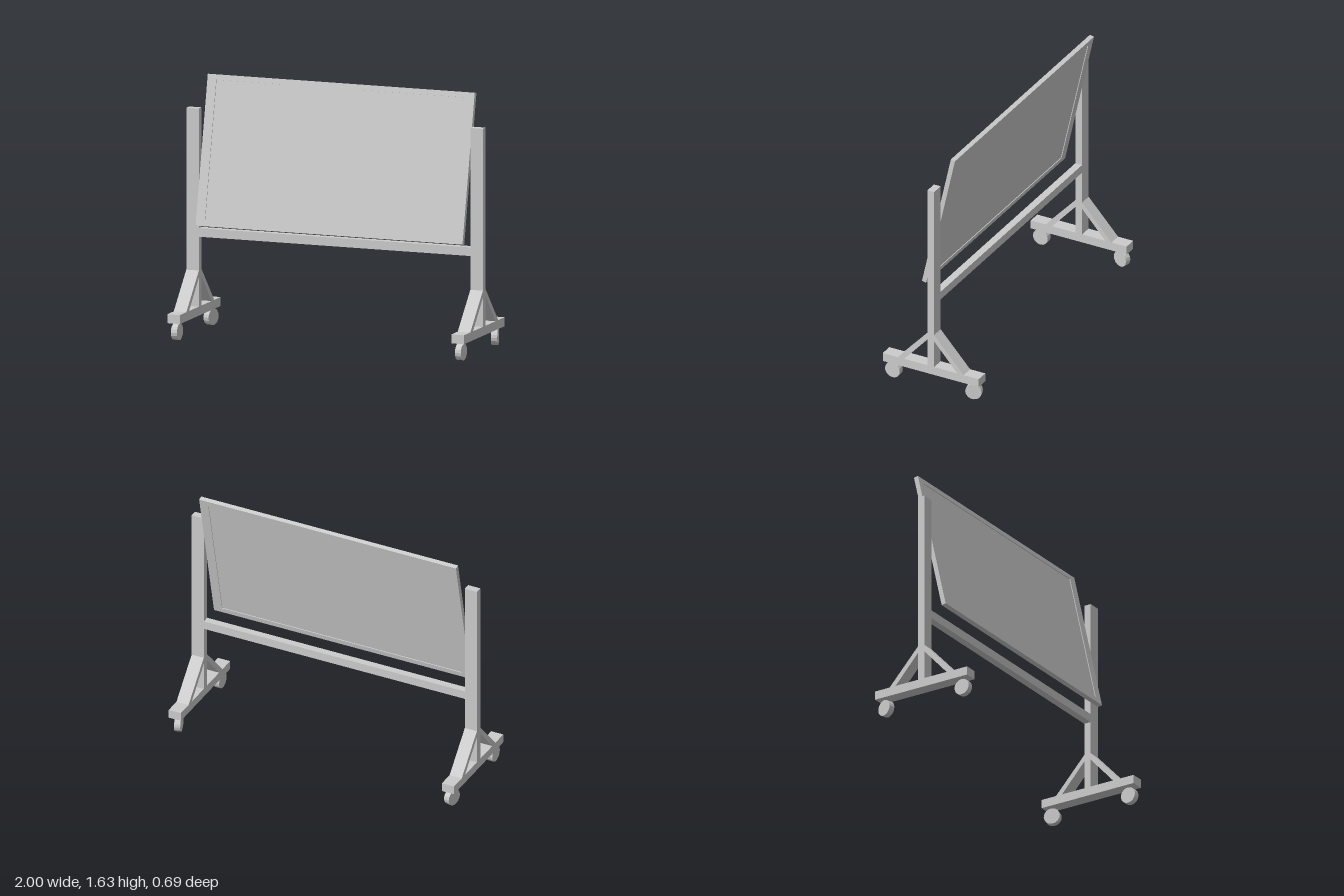
import * as THREE from 'three';

export function createModel() {
  const model = new THREE.Group();
  const material = new THREE.MeshStandardMaterial({ color: 0xcccccc, flatShading: true });

  const add = (parent, name, geometry, x = 0, y = 0, z = 0) => {
    const mesh = new THREE.Mesh(geometry, material);
    mesh.name = name;
    mesh.position.set(x, y, z);
    parent.add(mesh);
    return mesh;
  };

  const beamWidth = 0.085, postDepth = 0.048;

  // Tilted board: a slim frame around a slightly recessed two-sided panel
  const board = new THREE.Group();
  board.name = 'board';
  board.position.y = 1.165;
  board.rotation.x = THREE.MathUtils.degToRad(-12.5);
  model.add(board);

  const rect = (ShapeType, w, h) => new ShapeType([
    new THREE.Vector2(-w, -h), new THREE.Vector2(w, -h),
    new THREE.Vector2(w, h), new THREE.Vector2(-w, h),
  ]);
  const frame = rect(THREE.Shape, 0.9, 0.4775);
  frame.holes.push(rect(THREE.Path, 0.84, 0.4435));
  const frameGeometry = new THREE.ExtrudeGeometry(frame, { depth: 0.03, bevelEnabled: false });
  add(board, 'boardFrame', frameGeometry.translate(0, 0, -0.015));
  add(board, 'boardPanel', new THREE.BoxGeometry(1.68, 0.887, 0.02));

  // Crossbar joining the two posts
  add(model, 'crossbar', new THREE.BoxGeometry(1.83, 0.055, postDepth), 0, 0.6425, 0);

  // Diagonal brace profile, drawn as (z, y)
  const brace = new THREE.Shape([
    new THREE.Vector2(0.024, 0.4), new THREE.Vector2(0.024, 0.355),
    new THREE.Vector2(0.19, 0.17), new THREE.Vector2(0.235, 0.17),
  ]);
  const braceGeometry = new THREE.ExtrudeGeometry(brace, { depth: beamWidth, bevelEnabled: false })
    .translate(0, 0, -beamWidth / 2);

  const wheelGeometry = new THREE.CylinderGeometry(0.053, 0.053, 0.04, 16).rotateZ(Math.PI / 2);

  for (const side of [1, -1]) {
    const stand = new THREE.Group();
    stand.name = side > 0 ? 'leftStand' : 'rightStand';
    stand.position.x = side * 0.9575;
    model.add(stand);

    add(stand, 'post', new THREE.BoxGeometry(beamWidth, 1.26, postDepth), 0, 0.8, 0);
    add(stand, 'foot', new THREE.BoxGeometry(beamWidth, 0.057, 0.686), 0, 0.1415, 0);

    for (const end of [1, -1]) {
      const label = end > 0 ? 'front' : 'rear';
      add(stand, label + 'Brace', braceGeometry).rotation.y = -end * Math.PI / 2;
      // Rear wheels are swivelled, mirrored left to right
      const wheel = add(stand, label + 'Wheel', wheelGeometry, 0, 0.053, end * 0.287);
      if (end < 0) wheel.rotation.y = side * THREE.MathUtils.degToRad(15);
    }
  }

  return model;
}
